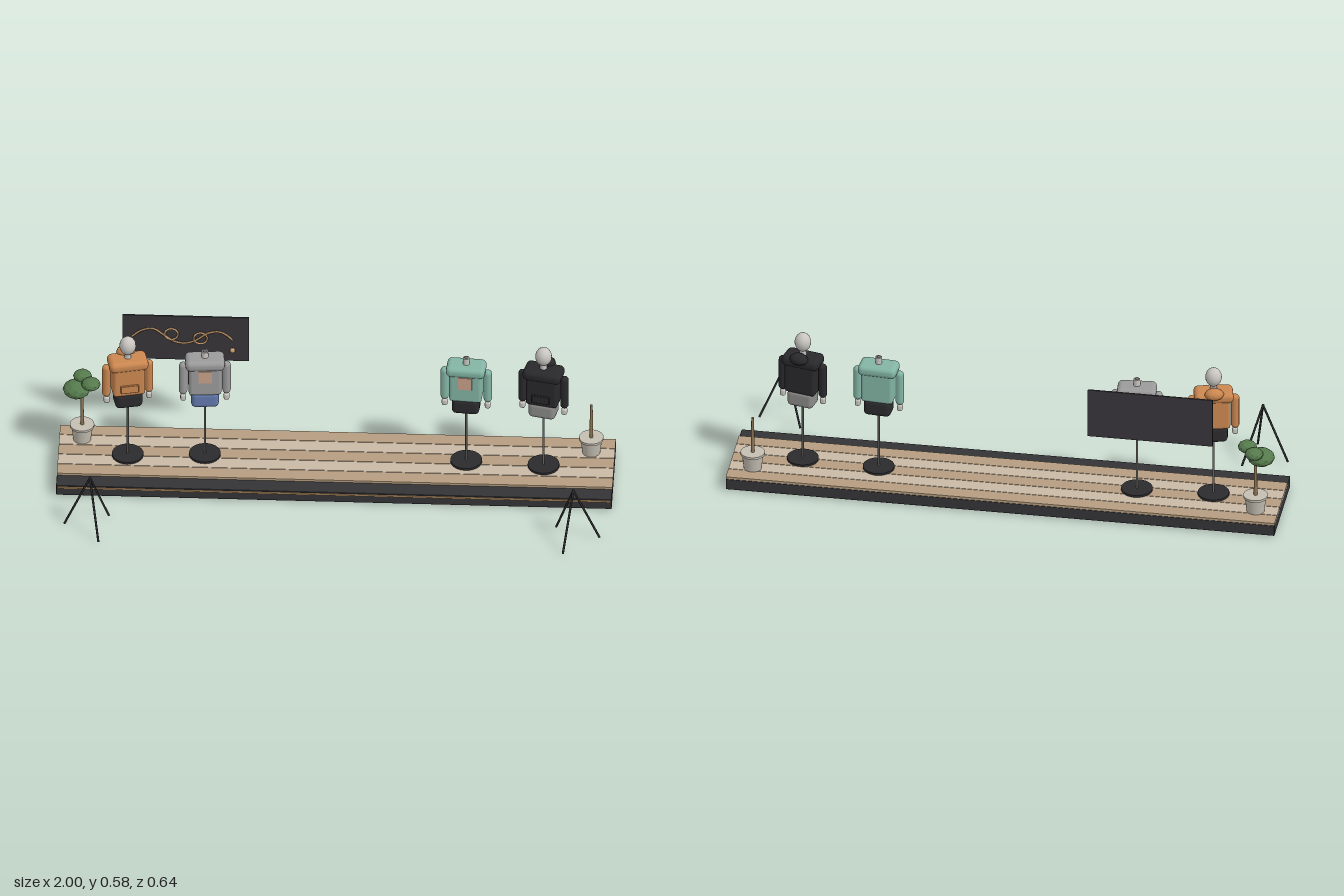
import * as THREE from 'three';
import { RoundedBoxGeometry } from 'three/addons/geometries/RoundedBoxGeometry.js';

const mat = (color, flatShading = false) => new THREE.MeshStandardMaterial({ color, flatShading });
const black = mat(0x2b2b2e), frame = mat(0x343437), metal = mat(0x6c6a68), skin = mat(0xc9c6c1);
const tan = mat(0xc49a6c), print = mat(0xc9a08a), wood = [mat(0xb59d80), mat(0xc8b9a4)];
const potMat = mat(0xc4beb2), bark = mat(0x8f7654), leaf = mat(0x557a4c, true);

function add(parent, name, geometry, material, x = 0, y = 0, z = 0) {
  const mesh = new THREE.Mesh(geometry, material);
  mesh.name = name;
  mesh.position.set(x, y, z);
  parent.add(mesh);
  return mesh;
}

function group(parent, name, x = 0, y = 0, z = 0) {
  const g = new THREE.Group();
  g.name = name;
  g.position.set(x, y, z);
  parent.add(g);
  return g;
}

const rounded = (w, h, d, r) => new RoundedBoxGeometry(w, h, d, 2, r);

// Thin rod between two points
function rod(parent, name, a, b, r, material) {
  const mesh = add(parent, name, new THREE.CylinderGeometry(r, r, a.distanceTo(b), 8), material);
  mesh.position.copy(a).lerp(b, 0.5);
  mesh.quaternion.setFromUnitVectors(new THREE.Vector3(0, 1, 0), b.clone().sub(a).normalize());
}

// Dressed display figure on a pole stand
function figure(parent, { name, x, z, turn, top, bottom, hooded }) {
  const g = group(parent, name, x, 0, z);
  g.rotation.y = turn;
  const cloth = mat(top);
  add(g, 'standBase', new THREE.CylinderGeometry(0.057, 0.057, 0.008, 24), black, 0, 0.06, 0);
  add(g, 'standPole', new THREE.CylinderGeometry(0.004, 0.004, 0.24, 10), metal, 0, 0.18, 0);
  add(g, 'hips', rounded(0.1, 0.065, 0.074, 0.017), mat(bottom), 0, 0.321, 0);
  add(g, 'torso', rounded(0.118, 0.14, 0.076, 0.012), cloth, 0, 0.415, 0);
  add(g, 'shoulders', rounded(0.142, 0.042, 0.086, 0.018), cloth, 0, 0.474, 0);
  for (const side of [-1, 1]) {
    const arm = group(g, side > 0 ? 'leftArm' : 'rightArm', side * 0.078, 0, 0);
    add(arm, 'sleeve', new THREE.CapsuleGeometry(0.0155, 0.108, 4, 10), cloth, 0, 0.402, 0);
    add(arm, 'hand', rounded(0.021, 0.028, 0.021, 0.008), skin, 0, 0.319, 0.002);
  }
  add(g, 'neck', new THREE.CylinderGeometry(0.012, 0.013, 0.034, 12), skin, 0, 0.503, 0);
  if (hooded) {
    add(g, 'head', new THREE.SphereGeometry(0.03, 16, 12), skin, 0, 0.547, 0).scale.y = 1.2;
    add(g, 'hood', new THREE.SphereGeometry(0.036, 10, 6), cloth, 0, 0.495, -0.037).scale.set(1, 0.62, 0.72);
    add(g, 'pocket', rounded(0.066, 0.032, 0.012, 0.003), cloth, 0, 0.38, 0.039);
  } else {
    add(g, 'neckCap', new THREE.SphereGeometry(0.008, 8, 6), metal, 0, 0.52, 0).scale.y = 0.6;
    add(g, 'chestPatch', new THREE.BoxGeometry(0.05, 0.052, 0.004), print, 0, 0.431, 0.039);
  }
}

// Potted tree, with or without foliage
function plant(parent, name, x, leafy) {
  const g = group(parent, name, x, 0, -0.23);
  const profile = [[0, 0.056], [0.032, 0.056], [0.039, 0.114], [0.044, 0.114], [0.044, 0.123], [0, 0.123]];
  const points = profile.flatMap(p => [new THREE.Vector2(...p), new THREE.Vector2(...p)]);
  add(g, 'pot', new THREE.LatheGeometry(points, 24), potMat);
  add(g, 'trunk', new THREE.CylinderGeometry(0.005, 0.007, 0.143, 10), bark, 0, 0.194, 0);
  if (!leafy) return;
  for (const [px, py, pz, r, ry] of [
    [-0.02, 0.281, 0.002, 0.05, 0.031],
    [0.032, 0.313, 0.014, 0.035, 0.021],
    [0, 0.313, -0.034, 0.034, 0.021],
  ]) add(g, 'foliage', new THREE.IcosahedronGeometry(1, 1), leaf, px, py, pz).scale.set(r, ry, r);
}

// Three-legged stand
function tripod(parent, name, s) {
  const g = group(parent, name);
  const apex = new THREE.Vector3(s * 0.87, 0.222, 0.226);
  for (const [x, z] of [[0.963, 0.21], [0.805, 0.155], [0.836, 0.315]])
    rod(g, 'tripodLeg', apex, new THREE.Vector3(s * x, 0.003, z), 0.004, black);
  add(g, 'tripodHead', new THREE.SphereGeometry(0.005, 8, 6), black, ...apex.toArray());
}

export function createModel() {
  const model = new THREE.Group();
  model.name = 'fashionStage';

  // Platform with plank deck
  const stage = group(model, 'platform');
  add(stage, 'platformBase', rounded(2, 0.043, 0.353, 0.003), frame, 0, 0.0255, -0.1345);
  add(stage, 'frontTrim', new THREE.BoxGeometry(1.99, 0.006, 0.006), tan, 0, 0.039, 0.0435);
  for (let i = 0; i < 5; i++)
    add(stage, 'plank', new THREE.BoxGeometry(2, 0.01, 0.056), wood[i % 2], 0, 0.051, -0.0475 - i * 0.0585);

  // Wall panel with raised decoration
  const panel = group(model, 'backPanel');
  add(panel, 'panel', new THREE.BoxGeometry(0.455, 0.193, 0.006), mat(0x39363b), -0.548, 0.4585, -0.315);
  const curve = pts => new THREE.CatmullRomCurve3(pts.map(([x, y]) => new THREE.Vector3(x, y, -0.305)));
  const line = curve([[-0.743, 0.465], [-0.705, 0.495], [-0.665, 0.502], [-0.63, 0.478], [-0.59, 0.448],
    [-0.55, 0.441], [-0.51, 0.456], [-0.47, 0.486], [-0.43, 0.495], [-0.4, 0.48], [-0.38, 0.46]]);
  add(panel, 'waveLine', new THREE.TubeGeometry(line, 60, 0.004, 6), tan);
  for (const [x, y] of [[-0.6, 0.48], [-0.495, 0.464]])
    add(panel, 'ring', new THREE.TorusGeometry(0.024, 0.004, 6, 24), tan, x, y, -0.305);
  add(panel, 'dot', new THREE.SphereGeometry(0.01, 12, 8), tan, -0.38, 0.414, -0.304);

  // Figures
  figure(model, { name: 'orangeFigure', x: -0.75, z: -0.14, turn: 0.23, top: 0xcb8750, bottom: 0x2b2b2e, hooded: true });
  figure(model, { name: 'greyFigure', x: -0.473, z: -0.155, turn: 0.08, top: 0x9b9b9c, bottom: 0x6379ad });
  figure(model, { name: 'mintFigure', x: 0.468, z: -0.155, turn: -0.08, top: 0x83b5a5, bottom: 0x2b2b2e });
  figure(model, { name: 'blackFigure', x: 0.747, z: -0.14, turn: -0.23, top: 0x29292c, bottom: 0x8d8c8b, hooded: true });

  plant(model, 'rightPlant', -0.918, true);
  plant(model, 'leftPlant', 0.915, false);
  tripod(model, 'rightTripod', -1);
  tripod(model, 'leftTripod', 1);
  return model;
}
